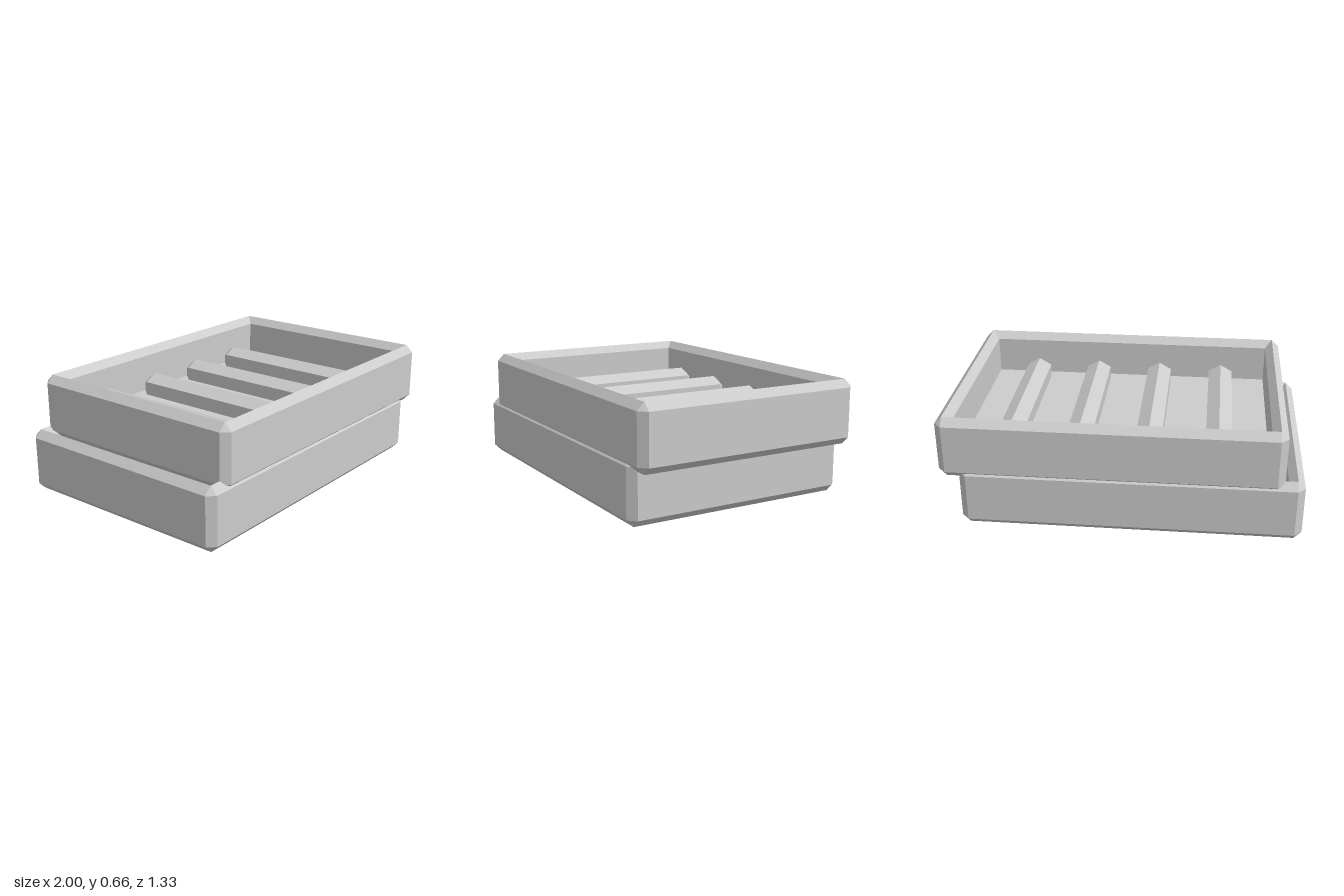
import * as THREE from 'three';

const WIDTH = 1.89, DEPTH = 1.333, HEIGHT = 0.36;
const BEVEL = 0.042, WALL = 0.085, FLOOR = 0.1;

// Rectangular ring with cut corners, counter-clockwise seen from above
function ring(y, inset, cut) {
  const x = WIDTH / 2 - inset, z = DEPTH / 2 - inset;
  return [
    [x, -z + cut], [x - cut, -z], [-x + cut, -z], [-x, -z + cut],
    [-x, z - cut], [-x + cut, z], [x - cut, z], [x, z - cut],
  ].map(([px, pz]) => new THREE.Vector3(px, y, pz));
}

// Open tray: bevelled shell, ridged rim, inner walls and floor
function trayGeometry() {
  const rings = [
    ring(0, BEVEL, 0),
    ring(BEVEL, 0, BEVEL),
    ring(HEIGHT - BEVEL, 0, BEVEL),
    ring(HEIGHT, BEVEL, 0),
    ring(HEIGHT - BEVEL, WALL, 0),
    ring(FLOOR, WALL, 0),
  ];
  const points = [];
  const triangle = (a, b, c) => {
    // Skip collapsed corner faces
    if (a.equals(b) || b.equals(c) || c.equals(a)) return;
    points.push(a, b, c);
  };
  for (let r = 0; r < rings.length - 1; r++) {
    const low = rings[r], high = rings[r + 1];
    for (let i = 0; i < 8; i++) {
      const j = (i + 1) % 8;
      triangle(low[i], low[j], high[j]);
      triangle(low[i], high[j], high[i]);
    }
  }
  const bottom = rings[0], floor = rings[rings.length - 1];
  for (let i = 1; i < 7; i++) {
    triangle(bottom[0], bottom[i + 1], bottom[i]);
    triangle(floor[0], floor[i], floor[i + 1]);
  }
  const geometry = new THREE.BufferGeometry().setFromPoints(points);
  geometry.computeVertexNormals();
  return geometry;
}

// Six-sided bar along z with tapered ends and a ridge on top
function barGeometry() {
  const radius = 0.084, end = 0.05, half = 0.553, taper = 0.04;
  const profile = [
    [0, -half], [end, -half], [radius, -half + taper],
    [radius, half - taper], [end, half], [0, half],
  ].map(([r, y]) => new THREE.Vector2(r, y));
  return new THREE.LatheGeometry(profile, 6).rotateX(-Math.PI / 2);
}

export function createModel() {
  const grey = new THREE.MeshStandardMaterial({ color: 0xcccccc, flatShading: true });
  grey.name = 'light grey';
  const shell = trayGeometry(), bar = barGeometry();

  const model = new THREE.Group();
  model.name = 'stackedTrays';

  // Two identical trays, shifted sideways against each other
  const trays = [['lowerTray', -0.055, 0], ['upperTray', 0.055, 0.296]];
  for (const [name, x, y] of trays) {
    const tray = new THREE.Group();
    tray.name = name;
    tray.position.set(x, y, 0);
    const body = new THREE.Mesh(shell, grey);
    body.name = 'trayBody';
    tray.add(body);
    for (let i = 0; i < 4; i++) {
      const mesh = new THREE.Mesh(bar, grey);
      mesh.name = 'bar';
      mesh.position.set((i - 1.5) * 0.389, FLOOR + 0.038, 0);
      tray.add(mesh);
    }
    model.add(tray);
  }
  return model;
}
